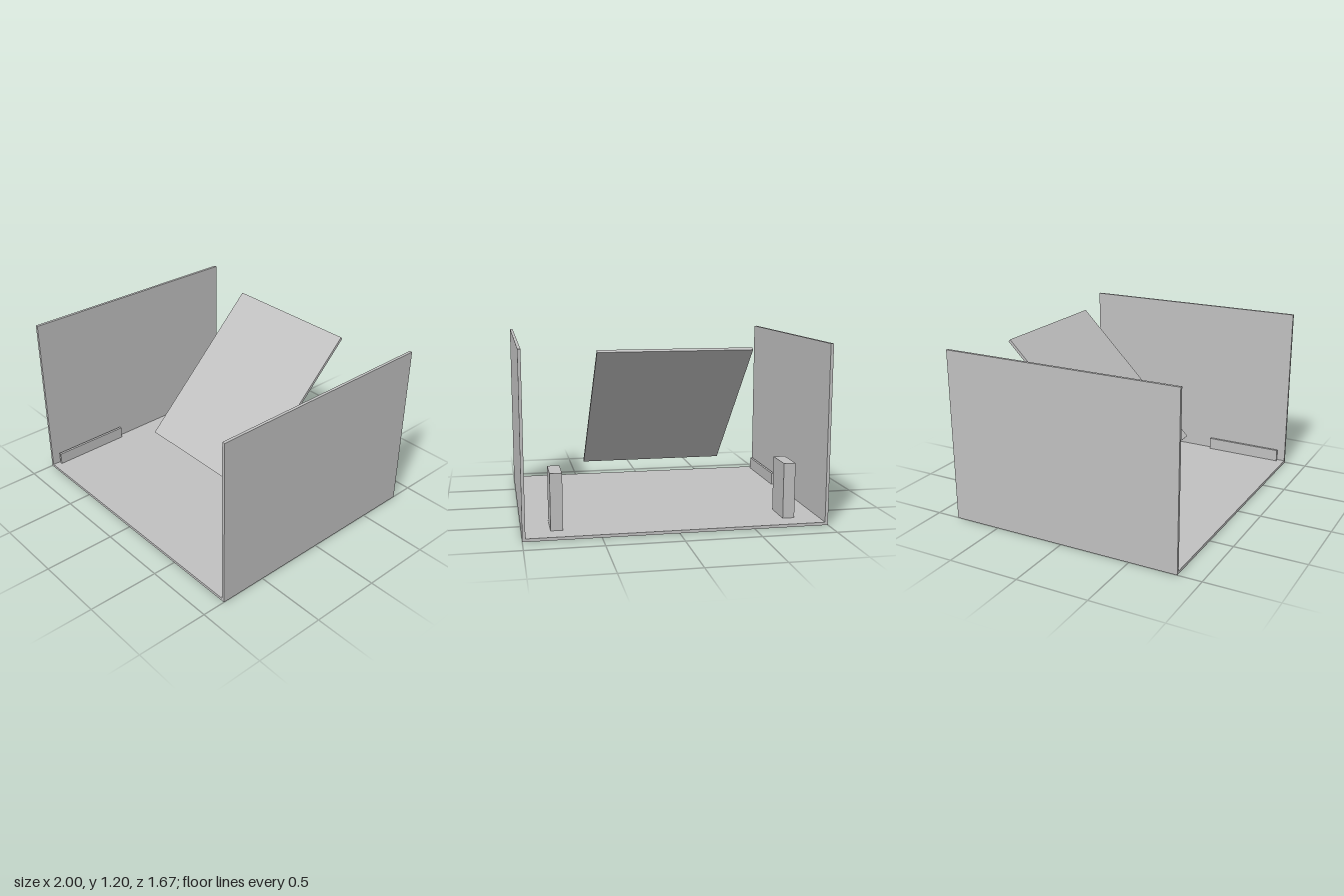
import * as THREE from 'three';

export function createModel() {
  const model = new THREE.Group();
  const grey = new THREE.MeshStandardMaterial({ color: 0xc0c0c0 });
  grey.name = 'light grey';

  const box = (name, w, h, d, x, y, z) => {
    const mesh = new THREE.Mesh(new THREE.BoxGeometry(w, h, d), grey);
    mesh.name = name;
    mesh.position.set(x, y, z);
    model.add(mesh);
    return mesh;
  };

  // Floor between the side walls
  box('floor', 1.96, 0.02, 1.67, 0, 0.01, 0);

  // Mirrored walls, rear posts and low front rails
  for (const [side, s] of [['left', 1], ['right', -1]]) {
    box(side + 'Wall', 0.02, 1.2, 1.67, s * 0.99, 0.6, 0);
    box(side + 'Post', 0.08, 0.375, 0.225, s * 0.775, 0.2075, -0.583);
    box(side + 'Rail', 0.018, 0.087, 0.57, s * 0.958, 0.0635, 0.495);
  }

  // Floating panel, sloping up towards the back at 45 degrees
  const panel = box('slopedPanel', 1.01, 0.02, 1.26, 0, 0.718, -0.248);
  panel.rotation.x = Math.PI / 4;

  return model;
}
